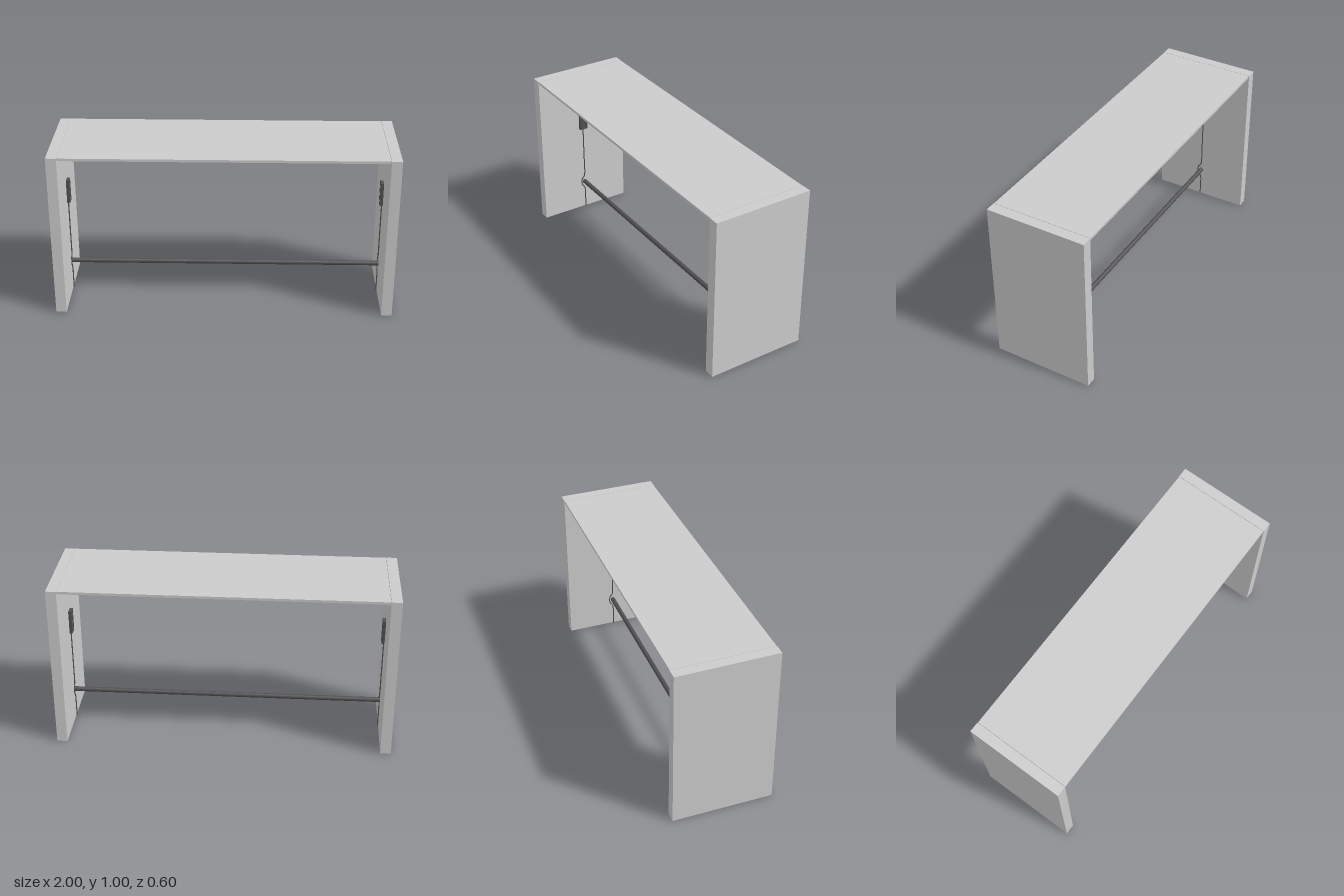
import * as THREE from 'three';

const PANEL = 0.062, DEPTH = 0.6, INNER = 1 - PANEL;

export function createModel() {
  const model = new THREE.Group();
  const grey = new THREE.MeshStandardMaterial({ color: 0xcccccc });
  const dark = new THREE.MeshStandardMaterial({ color: 0x505050 });

  const add = (parent, name, geometry, material, x = 0, y = 0, z = 0) => {
    const mesh = new THREE.Mesh(geometry, material);
    mesh.name = name;
    mesh.position.set(x, y, z);
    parent.add(mesh);
    return mesh;
  };

  // Thin table top set between the end panels
  add(model, 'tableTop', new THREE.BoxGeometry(2 * INNER - 0.004, 0.015, DEPTH - 0.004), grey, 0, 0.9925, 0);

  // Two rails under the top and one low stretcher
  const rail = (name, y, z) =>
    add(model, name, new THREE.CylinderGeometry(0.0145, 0.0145, 2 * INNER, 24).rotateZ(Math.PI / 2), dark, 0, y, z);
  rail('frontTopRail', 0.97, 0.21);
  rail('backTopRail', 0.97, -0.21);
  rail('stretcher', 0.19, 0);

  // Socket strip face: upright plate with three openings, seen from +x
  const plate = new THREE.Shape();
  const w = 0.026, h = 0.072;
  plate.moveTo(-w, -h).lineTo(w, -h).lineTo(w, h).lineTo(-w, h).closePath();
  for (const y of [-0.045, 0, 0.045]) {
    const hole = new THREE.Path();
    hole.absarc(0, y, 0.018, 0, Math.PI * 2, true);
    plate.holes.push(hole);
  }
  const plateGeometry = new THREE.ExtrudeGeometry(plate, { depth: 0.01, bevelEnabled: false, curveSegments: 12 })
    .rotateY(Math.PI / 2);

  // Cable path: straight down, stepping sideways around the stretcher
  const cable = new THREE.CatmullRomCurve3(
    [[0.6, 0], [0.4, 0], [0.255, 0], [0.235, 0.004], [0.212, 0.02], [0.19, 0.023],
      [0.168, 0.02], [0.145, 0.004], [0.125, 0], [0.06, 0], [0, 0]]
      .map(([y, z]) => new THREE.Vector3(0, y, z)));
  const cableGeometry = new THREE.TubeGeometry(cable, 80, 0.0035, 8);

  // Each end: panel, socket strip and cable, repeated by a half turn
  for (const [name, turn] of [['rightEnd', 0], ['leftEnd', Math.PI]]) {
    const end = new THREE.Group();
    end.name = name;
    end.rotation.y = turn;
    model.add(end);
    add(end, 'sidePanel', new THREE.BoxGeometry(PANEL, 1, DEPTH), grey, -1 + PANEL / 2, 0.5, 0);
    add(end, 'socketBase', new THREE.BoxGeometry(0.008, 2 * h, 2 * w), dark, -INNER + 0.004, 0.663, 0);
    add(end, 'socketPlate', plateGeometry, dark, -INNER + 0.008, 0.663, 0);
    add(end, 'cable', cableGeometry, dark, -INNER + 0.0035, 0, 0);
    // Pin holes shown as small studs in each socket
    for (const dy of [-0.045, 0, 0.045])
      for (const dz of [-0.008, 0.008])
        add(end, 'socketContact', new THREE.CylinderGeometry(0.0025, 0.0025, 0.003, 8).rotateZ(Math.PI / 2),
          dark, -INNER + 0.0095, 0.663 + dy, dz);
  }

  return model;
}
